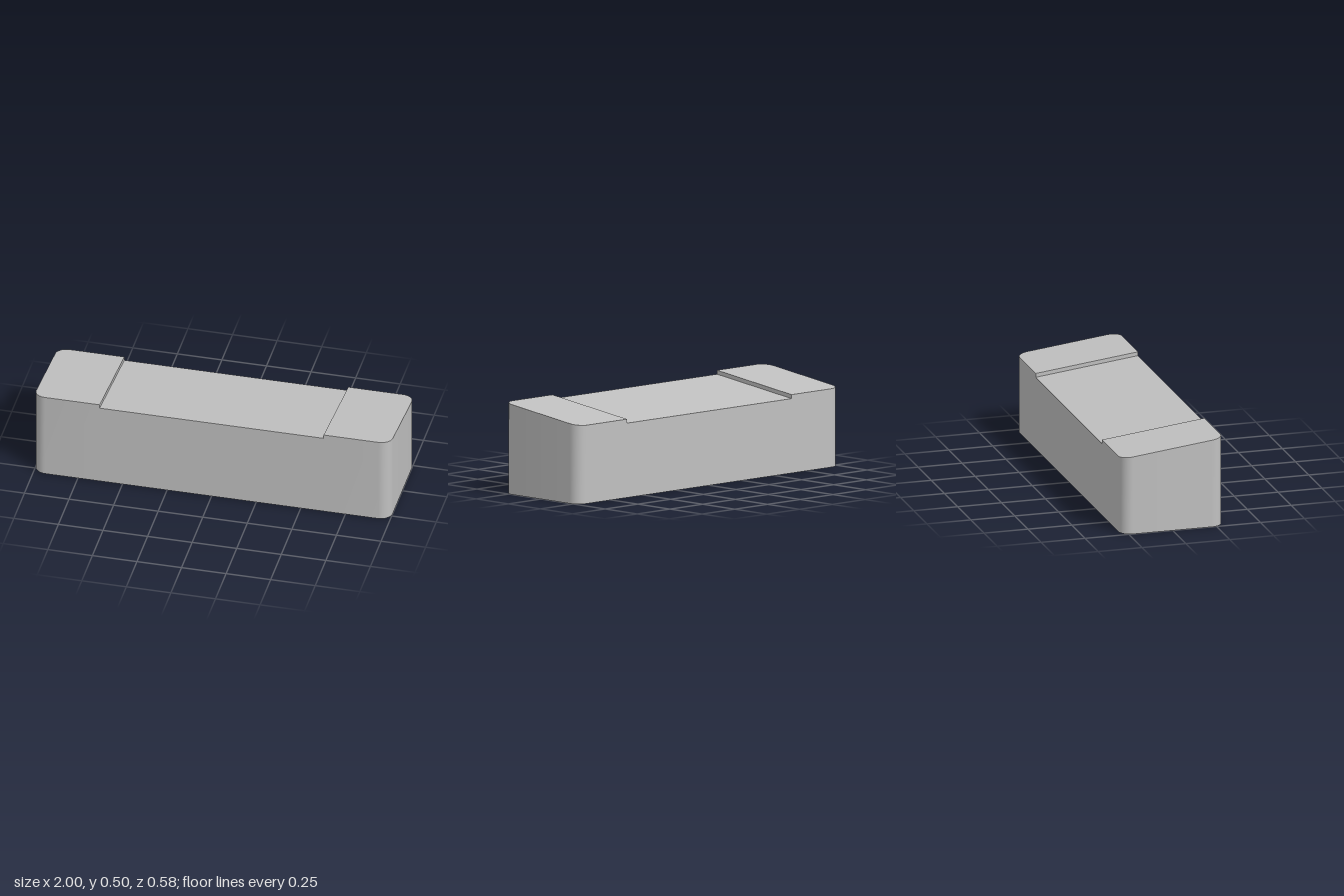
import * as THREE from 'three';
import { toCreasedNormals } from 'three/addons/utils/BufferGeometryUtils.js';

const HALF_LENGTH = 1, HALF_DEPTH = 0.291, RADIUS = 0.066;
const INNER = 0.628, STEP = 0.022; // recess between the raised ends
const ARC_STEPS = 10;

// Sloping top: higher at the front than at the back
const topAt = (z, drop) => 0.4685 + 0.122 * z - drop;

// Four corners of a cross-section: front bottom, front top, back top, back bottom
function section(x, h, drop) {
  return [[x, 0, h], [x, topAt(h, drop), h], [x, topAt(-h, drop), -h], [x, 0, -h]];
}

function bodyGeometry() {
  // Stations along the length: rounded end, step, recess, step, rounded end
  const leftEnd = [], rightEnd = [];
  for (let i = 0; i <= ARC_STEPS; i++) {
    const a = (i / ARC_STEPS) * Math.PI / 2;
    const x = HALF_LENGTH - RADIUS + RADIUS * Math.cos(a);
    const h = HALF_DEPTH - RADIUS + RADIUS * Math.sin(a);
    rightEnd.push(section(-x, h, 0));
    leftEnd.unshift(section(x, h, 0));
  }
  const stations = [
    ...rightEnd,
    section(-INNER, HALF_DEPTH, 0), section(-INNER, HALF_DEPTH, STEP),
    section(INNER, HALF_DEPTH, STEP), section(INNER, HALF_DEPTH, 0),
    ...leftEnd,
  ];

  const positions = [];
  const quad = (a, b, c, d) => positions.push(...a, ...b, ...c, ...a, ...c, ...d);
  for (let s = 0; s < stations.length - 1; s++) {
    const a = stations[s], b = stations[s + 1];
    const isStep = a[0][0] === b[0][0];
    for (let k = 0; k < 4; k++) {
      if (isStep && k !== 1) continue; // a step only has its upright face
      const n = (k + 1) % 4;
      quad(a[k], b[k], b[n], a[n]);
    }
  }
  // Flat end faces
  quad(...stations[0]);
  quad(...[...stations[stations.length - 1]].reverse());

  const geometry = new THREE.BufferGeometry();
  geometry.setAttribute('position', new THREE.Float32BufferAttribute(positions, 3));
  return toCreasedNormals(geometry, Math.PI / 6);
}

export function createModel() {
  const group = new THREE.Group();
  group.name = 'steppedBlock';
  const grey = new THREE.MeshStandardMaterial({ color: 0xc0c0c0 });
  grey.name = 'light grey';
  const body = new THREE.Mesh(bodyGeometry(), grey);
  body.name = 'body';
  group.add(body);
  return group;
}
